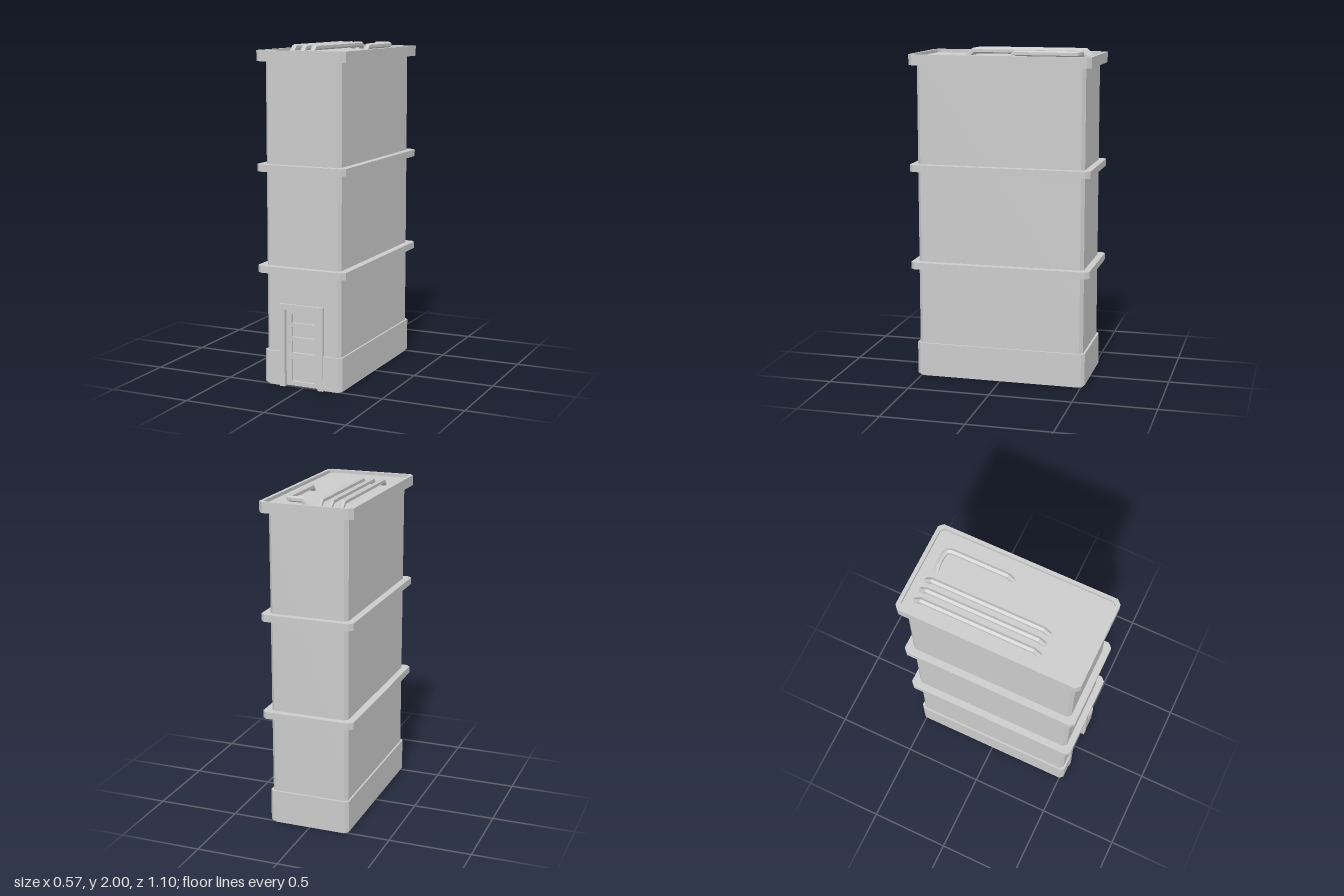
import * as THREE from 'three';

const DOOR_X = -0.006; // doorway centre
const DOOR_W = 0.108; // half width of the opening
const DOOR_H = 0.467;
const NOTCH_Z = 0.485; // back of the doorway recess

// Rectangle with cut corners, drawn in (x, -z) so that extrusion goes up; optional doorway notch in front.
function footprint(hx, hz, c, notch = false) {
  const pts = [];
  if (notch) {
    const l = DOOR_X - DOOR_W, r = DOOR_X + DOOR_W;
    pts.push([l, -hz], [l, -NOTCH_Z], [r, -NOTCH_Z], [r, -hz]);
  }
  pts.push([hx - c, -hz], [hx, -hz + c], [hx, hz - c], [hx - c, hz],
    [-hx + c, hz], [-hx, hz - c], [-hx, -hz + c], [-hx + c, -hz]);
  return pts.map(([x, y]) => new THREE.Vector2(x, y));
}

function rectPoints(x0, x1, y0, y1) {
  return [[x0, y0], [x1, y0], [x1, y1], [x0, y1]].map(([x, y]) => new THREE.Vector2(x, y));
}

// Pipe swept along corner points, with mitred joints and six sides.
function pipeGeometry(path, radius, sides = 6) {
  const P = path.map((p) => new THREE.Vector3(...p));
  const dir = P.slice(1).map((p, i) => p.clone().sub(P[i]).normalize());
  const out = new THREE.Vector3(P[0].x - P[2].x, 0, P[0].z - P[2].z).normalize();
  const side = new THREE.Vector3().crossVectors(dir[0], out);
  let ring = [];
  for (let k = 0; k < sides; k++) {
    const a = (k / sides) * Math.PI * 2;
    ring.push(P[0].clone().addScaledVector(out, radius * Math.cos(a)).addScaledVector(side, radius * Math.sin(a)));
  }
  const pos = ring.flatMap((v) => v.toArray());
  const index = [];
  for (let i = 1; i < P.length; i++) {
    const d = dir[i - 1];
    const n = d.clone().add(dir[i] || d).normalize();
    ring = ring.map((v) => v.clone().addScaledVector(d, P[i].clone().sub(v).dot(n) / d.dot(n)));
    ring.forEach((v) => pos.push(...v.toArray()));
    for (let k = 0; k < sides; k++) {
      const a = (i - 1) * sides + k, b = (i - 1) * sides + ((k + 1) % sides);
      index.push(a, b, b + sides, a, b + sides, a + sides);
    }
  }
  const g = new THREE.BufferGeometry();
  g.setAttribute('position', new THREE.Float32BufferAttribute(pos, 3));
  g.setIndex(index);
  const flat = g.toNonIndexed();
  flat.computeVertexNormals();
  return flat;
}

export function createModel() {
  const model = new THREE.Group();
  model.name = 'towerBuilding';
  const mat = new THREE.MeshStandardMaterial({ color: 0xcccccc, flatShading: true });

  function add(name, geometry) {
    const mesh = new THREE.Mesh(geometry, mat);
    mesh.name = name;
    model.add(mesh);
  }
  function slab(name, points, y0, y1, hole) {
    const shape = new THREE.Shape(points);
    if (hole) shape.holes.push(new THREE.Path(hole));
    const g = new THREE.ExtrudeGeometry(shape, { depth: y1 - y0, bevelEnabled: false });
    add(name, g.rotateX(-Math.PI / 2).translate(0, y0, 0));
  }
  function frontPanel(name, points, holes, z0, z1) {
    const shape = new THREE.Shape(points);
    holes.forEach((h) => shape.holes.push(new THREE.Path(h)));
    const g = new THREE.ExtrudeGeometry(shape, { depth: z1 - z0, bevelEnabled: false });
    add(name, g.translate(DOOR_X, 0, z0));
  }

  // Walls, with the doorway cut out of the lower part
  slab('lowerWalls', footprint(0.24, 0.51, 0.02, true), 0, DOOR_H);
  slab('upperWalls', footprint(0.24, 0.51, 0.02), DOOR_H, 1.93);
  slab('plinth', footprint(0.251, 0.523, 0.02, true), 0.013, 0.21);

  // Floor bands
  for (const y of [0.68, 1.277]) slab('floorBand', footprint(0.283, 0.55, 0.025), y, y + 0.042);

  // Roof with a raised rim
  slab('roof', footprint(0.283, 0.55, 0.025), 1.912, 1.955);
  slab('roofRim', footprint(0.283, 0.55, 0.025), 1.955, 1.975, footprint(0.261, 0.528, 0.02));

  // Door frame, and door with sunken panels
  const w = DOOR_W, f = 0.141;
  const frame = [[-f, 0], [-w, 0], [-w, DOOR_H], [w, DOOR_H], [w, 0], [f, 0], [f, 0.5], [-f, 0.5]];
  frontPanel('doorFrame', frame.map(([x, y]) => new THREE.Vector2(x, y)), [], 0.487, 0.526);
  const panels = [[0.03, 0.165], [0.205, 0.275], [0.3, 0.36], [0.385, 0.44]];
  frontPanel('door', rectPoints(-w, w, 0.004, DOOR_H),
    panels.map(([y0, y1]) => rectPoints(-0.073, 0.073, y0, y1)), NOTCH_Z, 0.5);

  // Roof pipes, with ends bent down into the roof
  const R = 0.017, top = 2 - R, low = 1.952, foot = 1.935;
  for (const x of [-0.184, -0.117, -0.053]) {
    add('straightRoofPipe', pipeGeometry([
      [x, foot, 0.268], [x, low, 0.268], [x, top, 0.235],
      [x, top, -0.43], [x, low, -0.463], [x, foot, -0.463],
    ], R));
  }
  add('bentRoofPipe', pipeGeometry([
    [0.022, foot, -0.445], [0.022, low, -0.445], [0.052, top, -0.445], [0.105, top, -0.445],
    [0.138, top, -0.435], [0.15, top, -0.41],
    [0.15, top, -0.075], [0.15, low, -0.044], [0.15, foot, -0.044],
  ], R));

  return model;
}
